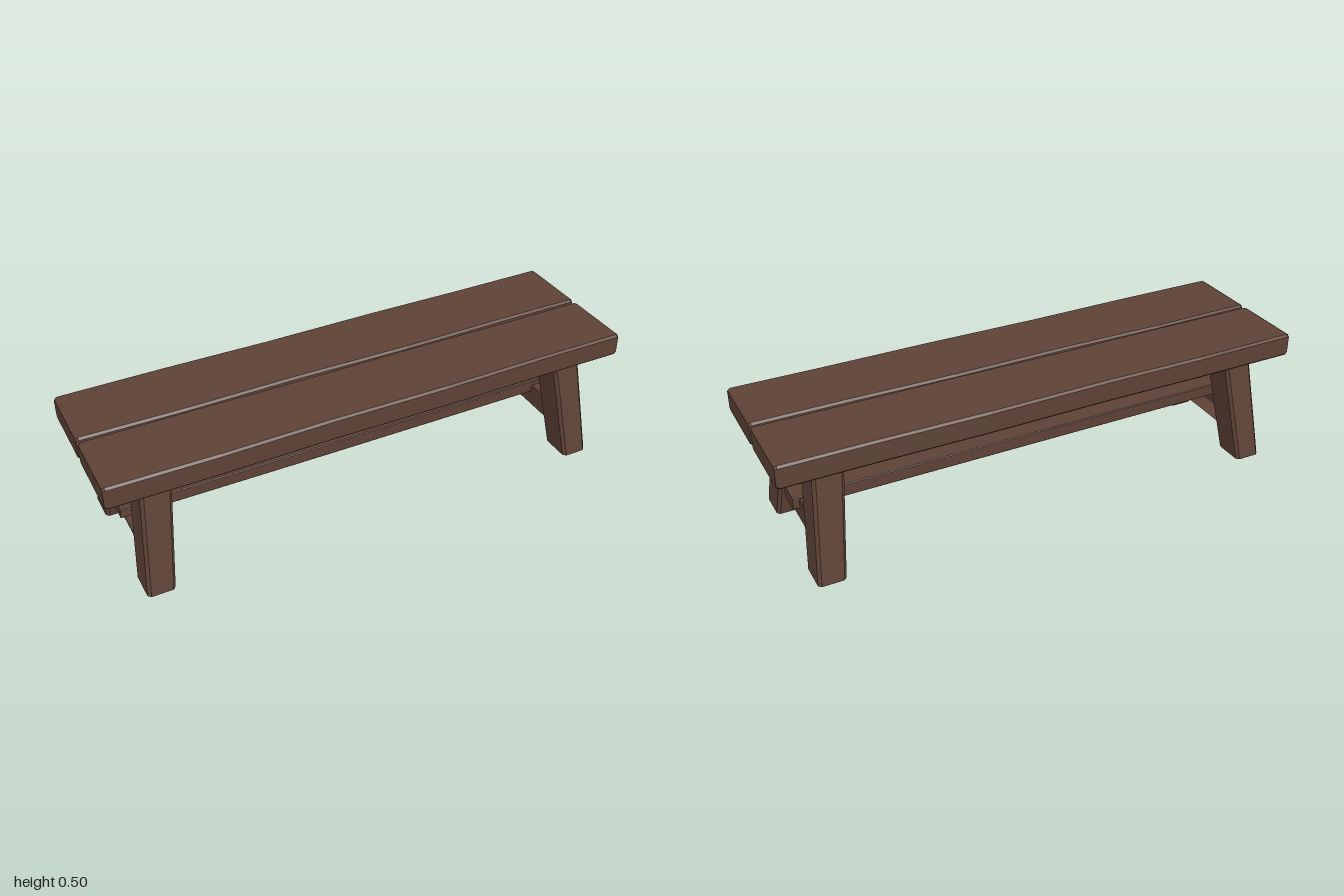
import * as THREE from 'three';

const wood = new THREE.MeshStandardMaterial({ color: 0x5e4236, flatShading: true });
wood.name = 'dark brown wood';

// Chamfered rectangle as eight [u, v] points, counter-clockwise
function chamfered(u0, u1, v0, v1, c) {
  return [
    [u0 + c, v0], [u1 - c, v0], [u1, v0 + c], [u1, v1 - c],
    [u1 - c, v1], [u0 + c, v1], [u0, v1 - c], [u0, v0 + c],
  ];
}

// Faceted solid through rings of 3D points, closed with flat caps
function loft(rings, flip = false) {
  const n = rings[0].length;
  const pos = [];
  const tri = (a, b, c) => pos.push(...a, ...(flip ? c : b), ...(flip ? b : c));
  for (let r = 0; r < rings.length - 1; r++) {
    for (let i = 0; i < n; i++) {
      const j = (i + 1) % n;
      const [a, b, c, d] = [rings[r][i], rings[r][j], rings[r + 1][j], rings[r + 1][i]];
      tri(a, b, c);
      tri(a, c, d);
    }
  }
  const last = rings[rings.length - 1];
  for (let i = 1; i < n - 1; i++) {
    tri(rings[0][0], rings[0][i + 1], rings[0][i]);
    tri(last[0], last[i], last[i + 1]);
  }
  const g = new THREE.BufferGeometry();
  g.setAttribute('position', new THREE.Float32BufferAttribute(pos, 3));
  g.computeVertexNormals();
  return g;
}

// Beam along x: sections are [x, y0, y1, z0, z1, chamfer]
function beamX(sections) {
  return loft(sections.map(([x, y0, y1, z0, z1, c]) =>
    chamfered(y0, y1, z0, z1, c).map(([y, z]) => [x, y, z])));
}

export function createModel() {
  const group = new THREE.Group();
  group.name = 'bench';
  const add = (name, geometry) => {
    const mesh = new THREE.Mesh(geometry, wood);
    mesh.name = name;
    group.add(mesh);
  };

  // Seat planks with slightly uneven hewn edges
  const stations = [-1, -0.99, -0.6, -0.2, 0.25, 0.65, 0.99, 1];
  const wobble = [0, 0, 0.003, -0.002, 0.003, -0.001, 0, 0];
  for (const side of [1, -1]) {
    add(side > 0 ? 'frontPlank' : 'backPlank', beamX(stations.map((x, i) => {
      const end = Math.abs(x) === 1 ? 0.005 : 0;
      const w = wobble[i] * side;
      const inner = (side > 0 ? 0.007 : -0.007) - w + side * end;
      const outer = side * (0.284 - end) + w;
      return [x, 0.412 + end + Math.abs(w) / 2, 0.5 - end - Math.abs(w) / 3,
        Math.min(inner, outer), Math.max(inner, outer), 0.008];
    })));
  }

  // Four splayed legs: [y, outer x, inner x, inner z, outer z]
  for (const sx of [1, -1]) {
    for (const sz of [1, -1]) {
      const flare = sx > 0 && sz > 0 ? 0.02 : 0;
      const rings = [
        [0, 0.907, 0.806, 0.172, 0.297],
        [0.36, 0.873, 0.762, 0.097, 0.234],
        [0.42, 0.867, 0.753 - flare, 0.083, 0.224],
      ].map(([y, xo, xi, zi, zo]) =>
        chamfered(zi, zo, xi, xo, 0.011).map(([z, x]) => [sx * x, y, sz * z]));
      add((sz > 0 ? 'front' : 'back') + (sx > 0 ? 'Left' : 'Right') + 'Leg', loft(rings, sx * sz < 0));
    }
  }

  for (const sx of [1, -1]) {
    // Cross rail joining each pair of legs
    const rail = [
      [-0.18, 0.1, 0.194], [-0.05, 0.102, 0.198], [0.05, 0.102, 0.188], [0.18, 0.1, 0.194],
    ].map(([z, y0, y1]) =>
      chamfered(0.8, 0.877, y0, y1, 0.004).map(([x, y]) => [sx * x, y, sx * z]));
    add(sx > 0 ? 'leftCrossRail' : 'rightCrossRail', loft(rail, sx < 0).rotateY(0));
  }

  // Small wedge splinter between the right rail and its front leg
  const wedge = [[0.05, 0.188], [0.14, 0.188], [0.118, 0.26]];
  add('wedge', loft([-0.8, -0.85].map((x) => wedge.map(([z, y]) => [x, y, z]))));

  // Long stretcher resting through both cross rails
  add('stretcher', beamX([
    [-0.903, 0.16, 0.207, -0.05, 0.048, 0.003],
    [-0.1, 0.158, 0.207, -0.048, 0.049, 0.003],
    [0.9, 0.158, 0.208, -0.05, 0.048, 0.003],
  ]));

  return group;
}
